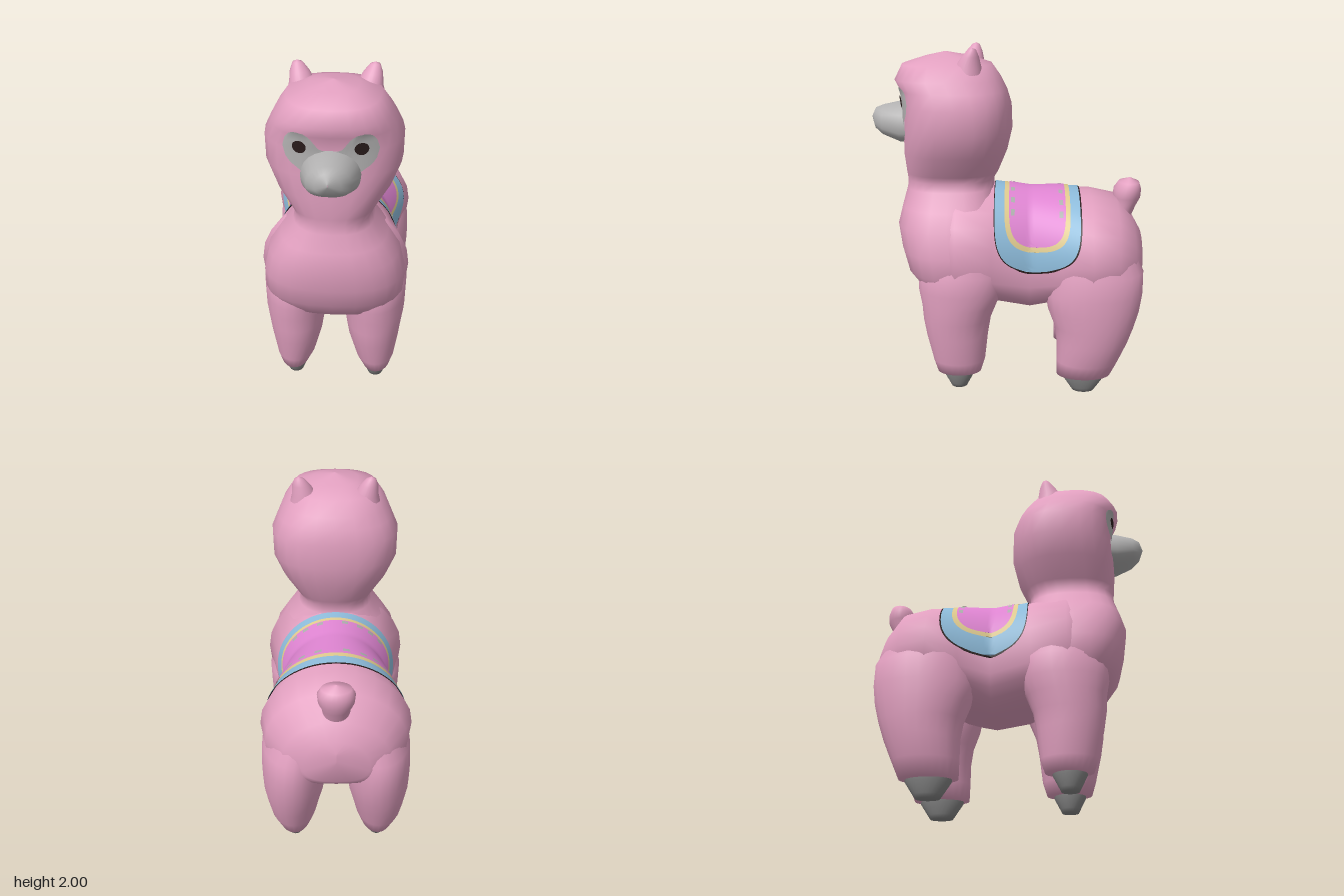
import * as THREE from 'three';

const SEG = 24;
const mat = (name, color, side = THREE.FrontSide) => {
  const m = new THREE.MeshStandardMaterial({ color, side });
  m.name = name;
  return m;
};
const spow = (v, p) => Math.sign(v) * Math.abs(v) ** p;

// Surface over rows and columns; wrap closes every row into a ring
function grid(rows, cols, point, wrap) {
  const pos = [], idx = [], n = wrap ? cols : cols + 1;
  for (let i = 0; i <= rows; i++) for (let j = 0; j < n; j++) pos.push(...point(i, j));
  for (let i = 0; i < rows; i++) {
    for (let j = 0; j < cols; j++) {
      const k = (j + 1) % n, a = i * n + j, b = i * n + k;
      idx.push(a, b, b + n, a, b + n, a + n);
    }
  }
  const g = new THREE.BufferGeometry();
  g.setAttribute('position', new THREE.Float32BufferAttribute(pos, 3));
  g.setIndex(idx);
  g.computeVertexNormals();
  return g;
}

// Upright loft; sections rise in y: [y, cx, cz, rx, rz]
const loftY = (sections, p = 1) => grid(sections.length - 1, SEG, (i, j) => {
  const [y, cx, cz, rx, rz] = sections[i], t = (j / SEG) * Math.PI * 2;
  return [cx + rx * spow(Math.sin(t), p), y, cz + rz * spow(Math.cos(t), p)];
}, true);

// Lengthwise section [z, top, bottom, halfWidth], angle t from the top, lifted by off;
// the lower half is fuller than an ellipse
function ringZ([z, top, bottom, hw], t, off = 0) {
  const c = Math.cos(t), cy = bottom + 0.42 * (top - bottom);
  const h = c > 0 ? top - cy : cy - bottom, p = c > 0 ? 1 : 0.75;
  return [(hw + off) * spow(Math.sin(t), p), cy + (h + off) * spow(c, p), z];
}
const loftZ = (sections) => grid(sections.length - 1, SEG,
  (i, j) => ringZ(sections[i], (j / SEG) * Math.PI * 2), true);

// Section interpolated at a value of the first column
function sectionAt(sections, v) {
  const up = sections[1][0] > sections[0][0];
  let i = 0;
  while (i < sections.length - 2 && (up ? sections[i + 1][0] < v : sections[i + 1][0] > v)) i++;
  const a = sections[i], b = sections[i + 1], f = (v - a[0]) / (b[0] - a[0]);
  return a.map((q, k) => q + (b[k] - q) * f);
}

// Torso, front to rear
const TORSO = [
  [0.47, 0.95, 0.85, 0.001], [0.45, 1.12, 0.64, 0.3], [0.3, 1.22, 0.58, 0.415],
  [0.1, 1.21, 0.53, 0.36], [-0.12, 1.18, 0.48, 0.31], [-0.3, 1.18, 0.53, 0.365],
  [-0.47, 1.17, 0.58, 0.42], [-0.62, 1.14, 0.58, 0.385], [-0.72, 1.02, 0.6, 0.29],
  [-0.77, 0.93, 0.66, 0.18], [-0.785, 0.86, 0.8, 0.001],
];

// Chest, neck and head, from [y, halfWidth, zFront, zBack]
const HEAD_POWER = 0.8;
const HEAD = [
  [0.59, 0.001, 0.31, 0.3], [0.62, 0.33, 0.515, 0.12], [0.74, 0.395, 0.6, 0.05],
  [0.86, 0.395, 0.63, 0.03], [1.0, 0.362, 0.65, 0.04], [1.1, 0.295, 0.625, 0.06],
  [1.2, 0.222, 0.595, 0.09], [1.25, 0.21, 0.59, 0.09], [1.29, 0.23, 0.595, 0.065],
  [1.41, 0.307, 0.605, 0.015], [1.54, 0.36, 0.6, -0.015], [1.68, 0.362, 0.6, -0.01],
  [1.76, 0.325, 0.612, 0.015], [1.82, 0.295, 0.645, 0.045], [1.9, 0.24, 0.605, 0.1],
  [1.94, 0.13, 0.48, 0.22], [1.967, 0.001, 0.361, 0.36],
].map(([y, hw, zf, zb]) => [y, 0, (zf + zb) / 2, hw, (zf - zb) / 2]);

function faceZ(x, y) {
  const [, , cz, rx, rz] = sectionAt(HEAD, y);
  const q = Math.min(1, Math.abs(x / rx)) ** (2 / HEAD_POWER);
  return cz + rz * (1 - q) ** (HEAD_POWER / 2);
}
// Thin oval lying on the face
const faceOval = (cx, cy, rx, ry, off) => grid(4, SEG, (i, j) => {
  const t = (j / SEG) * Math.PI * 2, f = 1 - i / 4;
  const x = cx + rx * f * Math.cos(t), y = cy + ry * f * Math.sin(t);
  return [x, y, faceZ(x, y) + off];
}, true);

// Bare face around eyes and snout: [x, lower y, upper y], mirrored
const MASK = [
  [0, 1.5, 1.675], [0.06, 1.51, 1.7], [0.1, 1.53, 1.755], [0.13, 1.56, 1.778], [0.17, 1.59, 1.785],
  [0.2, 1.61, 1.775], [0.225, 1.64, 1.745], [0.238, 1.69, 1.7],
];
const faceMask = () => grid(8, 40, (i, j) => {
  const x = (j / 20 - 1) * 0.238, [, lo, hi] = sectionAt(MASK, Math.abs(x));
  const y = lo + (hi - lo) * i / 8;
  return [x, y, faceZ(x, y) + 0.005];
}, false);

// Cloth lying on the torso: centre z, half length, centre angle, half angle, lift
const cloth = (zc, half, tc, span, off, rounded) => grid(16, 48, (i, j) => {
  const s = Math.sin((j / 24 - 1) * Math.PI / 2);
  const w = rounded ? half * Math.cbrt(Math.max(0, 1 - Math.abs(s) ** 8)) : half;
  const z = zc + w * (1 - i / 8);
  return ringZ(sectionAt(TORSO, z), THREE.MathUtils.degToRad(tc + span * s), off);
}, false);

export function createModel() {
  const model = new THREE.Group();
  const wool = mat('pink wool', 0xe2a0c0);
  const muzzle = mat('muzzle grey', 0xb2b1b1, THREE.DoubleSide);
  const hoof = mat('hoof grey', 0x858585);
  const dark = mat('dark brown', 0x2a1c1c, THREE.DoubleSide);
  const blue = mat('blanket blue', 0x8dbbda, THREE.DoubleSide);
  const yellow = mat('blanket yellow', 0xdfca8e, THREE.DoubleSide);
  const magenta = mat('blanket magenta', 0xde84d1, THREE.DoubleSide);
  const sage = mat('stitch sage', 0xacaeac, THREE.DoubleSide);
  const add = (name, geometry, material) => {
    const m = new THREE.Mesh(geometry, material);
    m.name = name;
    model.add(m);
  };

  add('torso', loftZ(TORSO), wool);
  add('chestNeckAndHead', loftY(HEAD, HEAD_POWER), wool);
  add('faceMask', faceMask(), muzzle);
  add('snout', loftZ([
    [0.787, 1.605, 1.59, 0.001], [0.765, 1.65, 1.535, 0.065], [0.72, 1.668, 1.5, 0.112],
    [0.62, 1.69, 1.46, 0.148], [0.5, 1.69, 1.46, 0.16],
  ]), muzzle);
  add('tail', loftY([
    [0.98, 0, -0.64, 0.07, 0.06], [1.08, 0, -0.675, 0.075, 0.065], [1.13, 0, -0.685, 0.095, 0.08],
    [1.18, 0, -0.688, 0.1, 0.08], [1.22, 0, -0.695, 0.08, 0.06], [1.245, 0, -0.7, 0.001, 0.001],
  ]), wool);

  for (const s of [1, -1]) {
    const side = s > 0 ? 'left' : 'right';
    const mirror = (list) => list.map(([y, x, ...r]) => [y, x * s, ...r]);
    add(side + 'Ear', loftY(mirror([
      [1.8, 0.165, 0.235, 0.1, 0.1], [1.89, 0.172, 0.225, 0.07, 0.075],
      [1.95, 0.188, 0.21, 0.05, 0.048], [1.99, 0.198, 0.2, 0.026, 0.022], [2, 0.2, 0.2, 0.001, 0.001],
    ])), wool);
    add(side + 'Eye', faceOval(0.153 * s, 1.705, 0.035, 0.034, 0.012), dark);

    // Legs, from the foot up into the torso
    add(side + 'FrontLeg', loftY(mirror([
      [0.11, 0.247, 0.295, 0.001, 0.001], [0.125, 0.247, 0.295, 0.085, 0.128],
      [0.2, 0.24, 0.295, 0.115, 0.152], [0.36, 0.23, 0.305, 0.148, 0.18],
      [0.46, 0.228, 0.305, 0.162, 0.197], [0.55, 0.228, 0.29, 0.176, 0.218],
      [0.64, 0.222, 0.28, 0.185, 0.245], [0.75, 0.215, 0.275, 0.195, 0.25],
      [0.9, 0.18, 0.28, 0.17, 0.2],
    ])), wool);
    add(side + 'BackLeg', loftY(mirror([
      [0.09, 0.245, -0.44, 0.001, 0.001], [0.105, 0.245, -0.44, 0.095, 0.158],
      [0.2, 0.25, -0.46, 0.132, 0.18], [0.32, 0.248, -0.485, 0.153, 0.207],
      [0.42, 0.243, -0.495, 0.172, 0.232], [0.52, 0.238, -0.49, 0.182, 0.265],
      [0.62, 0.235, -0.49, 0.186, 0.28], [0.75, 0.225, -0.495, 0.186, 0.275],
      [0.92, 0.18, -0.47, 0.17, 0.23],
    ])), wool);
    const hoofAt = (x, z, y0, y1, rz) => loftY(mirror([
      [y0, x, z, 0.001, 0.001], [y0 + 0.002, x, z, 0.045, rz * 0.5], [y0 + 0.025, x, z, 0.053, rz * 0.62],
      [y1 - 0.02, x, z, 0.075, rz * 0.95], [y1 + 0.03, x, z, 0.075, rz],
    ]));
    add(side + 'FrontHoof', hoofAt(0.245, 0.297, 0.025, 0.13, 0.095), hoof);
    add(side + 'BackHoof', hoofAt(0.245, -0.44, 0, 0.11, 0.13), hoof);
  }

  // Saddle blanket in nested layers
  add('blanketEdge', cloth(-0.16, 0.247, 0, 91.5, 0.004, true), dark);
  add('blanketBorder', cloth(-0.158, 0.241, 0, 90.5, 0.007, true), blue);
  add('blanketTrim', cloth(-0.158, 0.186, 0, 75, 0.01, true), yellow);
  add('blanketCentre', cloth(-0.158, 0.16, 0, 71, 0.013, true), magenta);
  for (const z of [-0.293, -0.02]) {
    for (const t of [-48, -36, -24, -9, 15, 30, 43]) {
      add('blanketStitch', cloth(z, 0.011, t, 3, 0.016, false), sage);
    }
  }
  return model;
}
